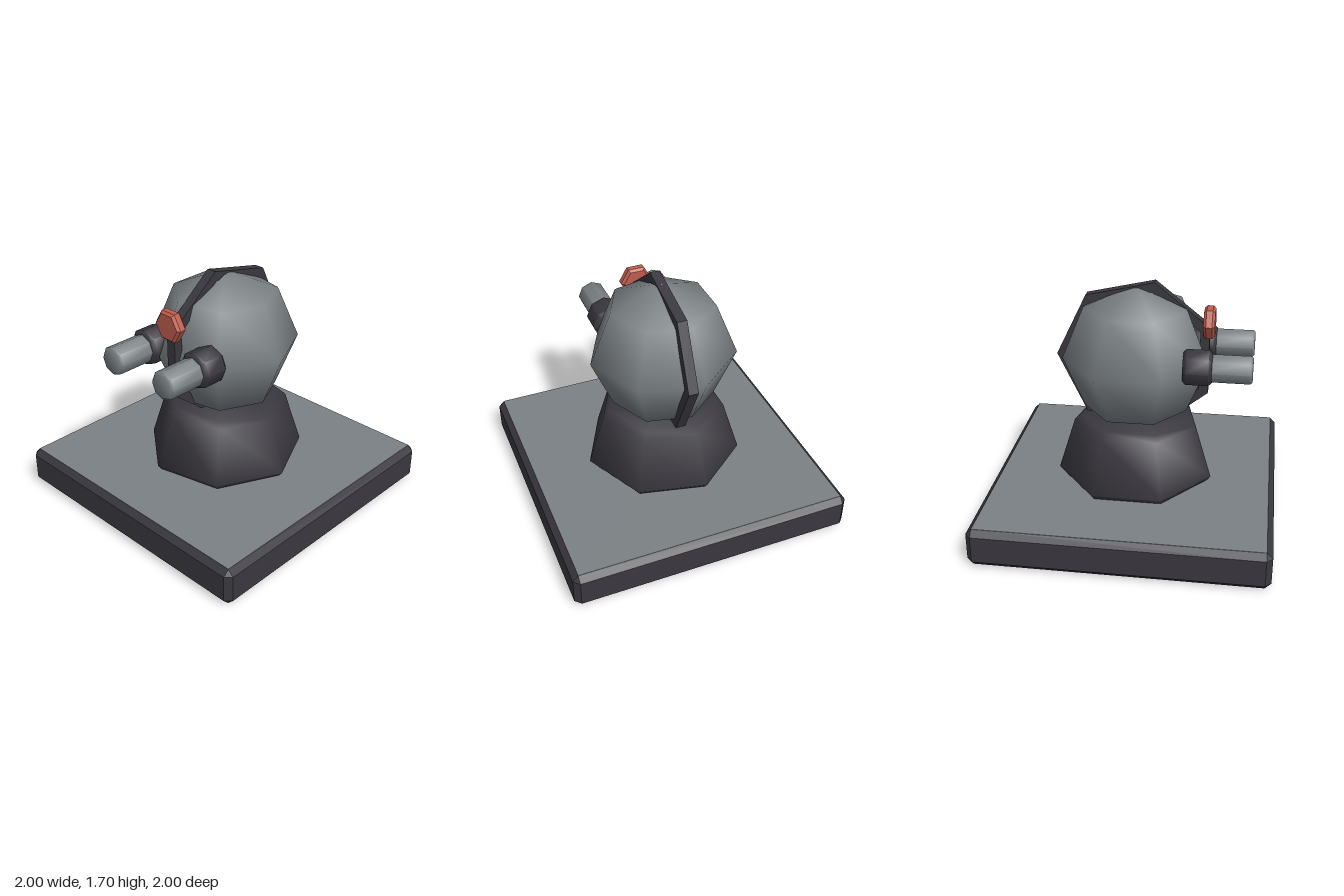
import * as THREE from 'three';
import { toCreasedNormals } from 'three/addons/utils/BufferGeometryUtils.js';
import { ConvexGeometry } from 'three/addons/geometries/ConvexGeometry.js';

const grey = new THREE.MeshStandardMaterial({ name: 'grey', color: 0x7b8184 });
const dark = new THREE.MeshStandardMaterial({ name: 'dark', color: 0x3a383f });
const red = new THREE.MeshStandardMaterial({ name: 'red', color: 0xbe5d4e });

// Few-sided turned solid with one corner on +x; profile is [radius, height] upwards
function turned(profile, sides, crease = 1.0) {
  const points = profile.map(([r, y]) => new THREE.Vector2(r, y));
  return toCreasedNormals(new THREE.LatheGeometry(points, sides, Math.PI / 2), crease);
}

// Cylinder along z from z0 to z1 with chamfered rims
function chamfered(radius, z0, z1, bevel, sides, crease) {
  return turned([
    [0, z0], [radius - bevel, z0], [radius, z0 + bevel],
    [radius, z1 - bevel], [radius - bevel, z1], [0, z1],
  ], sides, crease).rotateX(Math.PI / 2);
}

// Box with chamfered edges and corners, centred on the origin
function chamferBox(hx, hy, hz, b) {
  const points = [];
  for (const sx of [-1, 1]) for (const sy of [-1, 1]) for (const sz of [-1, 1]) {
    points.push(
      new THREE.Vector3(sx * hx, sy * (hy - b), sz * (hz - b)),
      new THREE.Vector3(sx * (hx - b), sy * hy, sz * (hz - b)),
      new THREE.Vector3(sx * (hx - b), sy * (hy - b), sz * hz),
    );
  }
  return new ConvexGeometry(points);
}

function polygon(PathType, radius, sides, start) {
  const path = new PathType();
  for (let i = 0; i < sides; i++) {
    const a = start + (i / sides) * Math.PI * 2;
    path[i ? 'lineTo' : 'moveTo'](radius * Math.cos(a), radius * Math.sin(a));
  }
  path.closePath();
  return path;
}

export function createModel() {
  const model = new THREE.Group();
  model.name = 'turret';
  const add = (name, geometry, material, x = 0, y = 0, z = 0, parent = model) => {
    const mesh = new THREE.Mesh(geometry, material);
    mesh.name = name;
    mesh.position.set(x, y, z);
    parent.add(mesh);
    return mesh;
  };

  // Square base slab with grey faces above and below
  add('base', chamferBox(1, 0.134, 1, 0.04), dark, 0, 0.136, 0);
  add('baseTop', new THREE.BoxGeometry(1.92, 0.004, 1.92), grey, 0, 0.27, 0);
  add('baseBottom', new THREE.BoxGeometry(1.92, 0.004, 1.92), grey, 0, 0.002, 0);

  // Seven-sided pedestal
  add('pedestal', turned([
    [0, 0.272], [0.53, 0.272], [0.56, 0.31], [0.44, 0.69], [0.395, 0.73], [0, 0.73],
  ], 7), dark);

  // Faceted head
  add('head', new THREE.SphereGeometry(0.515, 7, 4).rotateY(Math.PI), grey, 0, 1.16, 0);

  // Seven-sided band standing around the head
  const band = polygon(THREE.Shape, 0.555, 7, Math.PI);
  band.holes.push(polygon(THREE.Path, 0.485, 7, Math.PI));
  const bandGeometry = new THREE.ExtrudeGeometry(band, { depth: 0.07, bevelEnabled: false });
  bandGeometry.translate(0, 0, -0.035).rotateY(-Math.PI / 2);
  add('band', bandGeometry, dark, 0, 1.16, 0);

  // Twin barrels in collars
  for (const side of [-1, 1]) {
    const gun = new THREE.Group();
    gun.name = side > 0 ? 'leftGun' : 'rightGun';
    gun.position.set(side * 0.238, 1.197, 0);
    model.add(gun);
    add('collar', chamfered(0.128, 0.345, 0.538, 0.022, 8), dark, 0, 0, 0, gun);
    add('barrel', chamfered(0.1, 0.4, 0.805, 0.014, 8), grey, 0, 0, 0, gun);
  }

  // Red six-sided sensor on the brow
  add('sensor', chamfered(0.115, 0.458, 0.535, 0.018, 6, 0.5), red, 0, 1.43, 0);

  return model;
}
